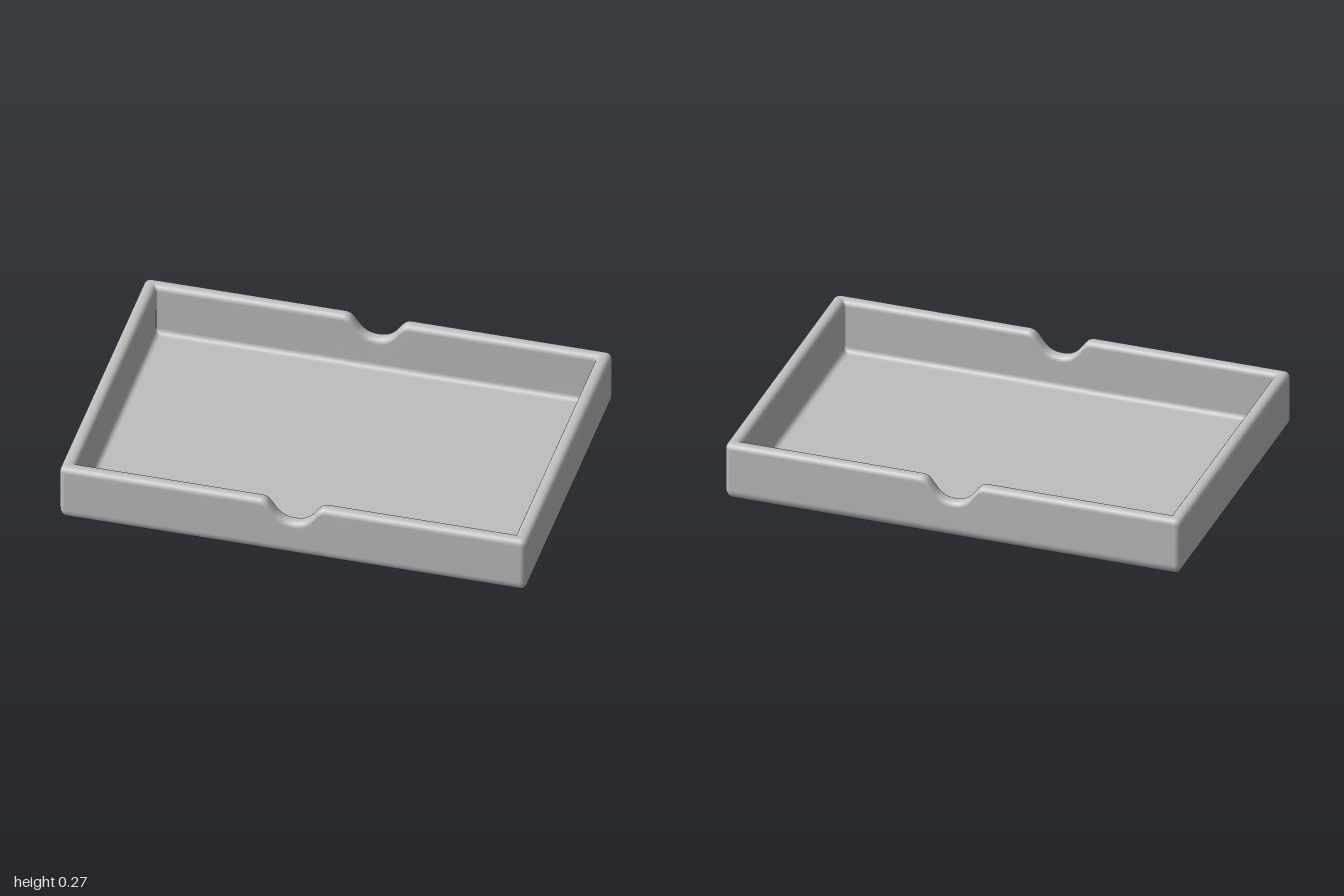
import * as THREE from 'three';

const HX = 1, HZ = 0.692, HEIGHT = 0.267, WALL = 0.06, FLOOR = 0.03;
const CORNER = 0.028, INNER_CORNER = 0.006;

// Quarter arc as [inset, height] points, centred on (cd, cy)
function arc(cd, cy, r, from, to, steps = 6) {
  const pts = [];
  for (let i = 0; i <= steps; i++) {
    const a = THREE.MathUtils.degToRad(from + (to - from) * i / steps);
    pts.push([cd + r * Math.cos(a), cy + r * Math.sin(a)]);
  }
  return pts;
}

// Wall section from the underside, up the outside, over the rim, down to the floor
function wallSection() {
  const rim = [...arc(0.026, -0.026, 0.026, 180, 90), ...arc(WALL - 0.026, -0.026, 0.026, 90, 0)];
  return [
    ...arc(0.055, 0.055, 0.055, 270, 180, 8).map(([d, y]) => ({ d, y })),
    ...rim.map(([d, y]) => ({ d, y, rim: true })),
    ...arc(WALL + 0.025, FLOOR + 0.025, 0.025, 180, 270).map(([d, y]) => ({ d, y })),
  ];
}

// Rim height along one half of the finger notch
const notch = new THREE.SplineCurve([
  [0, 0.175], [0.022, 0.177], [0.045, 0.184], [0.068, 0.2], [0.088, 0.224],
  [0.106, 0.248], [0.12, 0.261], [0.138, HEIGHT],
].map(([x, y]) => new THREE.Vector2(x, y)));

// Stations around the tray: rounded corners, with notch stations on the long sides
function outline() {
  const stations = [];
  const corner = (sx, sz, start) => {
    for (let i = 0; i <= 6; i++) stations.push({ sx, sz, a: start + i * Math.PI / 12, h: HEIGHT });
  };
  const half = notch.getPoints(20);
  const notchSide = (sz) => {
    const side = [...half.slice(1).reverse().map((p) => [p.x, p.y]), ...half.map((p) => [-p.x, p.y])];
    for (const [x, h] of side) stations.push({ x: x * sz, sz, h });
  };
  corner(1, 1, 0);
  notchSide(1);
  corner(-1, 1, Math.PI / 2);
  corner(-1, -1, Math.PI);
  notchSide(-1);
  corner(1, -1, Math.PI * 1.5);
  return stations;
}

function trayGeometry() {
  const section = wallSection(), stations = outline(), n = stations.length;
  const pos = [], index = [];

  // One ring of points for each point of the section
  for (const { d, y, rim } of section) {
    const r = Math.max(CORNER - d, INNER_CORNER);
    for (const s of stations) {
      const py = rim ? s.h + y : y;
      if (s.x !== undefined) pos.push(s.x, py, s.sz * (HZ - d));
      else pos.push(s.sx * (HX - d - r) + r * Math.cos(s.a), py, s.sz * (HZ - d - r) + r * Math.sin(s.a));
    }
  }
  for (let j = 0; j < section.length - 1; j++) {
    for (let i = 0; i < n; i++) {
      const k = (i + 1) % n;
      const a = j * n + i, b = j * n + k, c = a + n, e = b + n;
      index.push(a, c, b, b, c, e);
    }
  }

  // Underside and floor
  const last = (section.length - 1) * n, centre = pos.length / 3;
  pos.push(0, 0, 0, 0, FLOOR, 0);
  for (let i = 0; i < n; i++) {
    const k = (i + 1) % n;
    index.push(centre, i, k, centre + 1, last + k, last + i);
  }

  const geometry = new THREE.BufferGeometry();
  geometry.setAttribute('position', new THREE.Float32BufferAttribute(pos, 3));
  geometry.setIndex(index);
  geometry.computeVertexNormals();
  return geometry;
}

export function createModel() {
  const grey = new THREE.MeshStandardMaterial({ color: 0xbfbfbf });
  grey.name = 'light grey';
  const tray = new THREE.Mesh(trayGeometry(), grey);
  tray.name = 'notchedTray';
  const group = new THREE.Group();
  group.name = 'tray';
  group.add(tray);
  return group;
}
